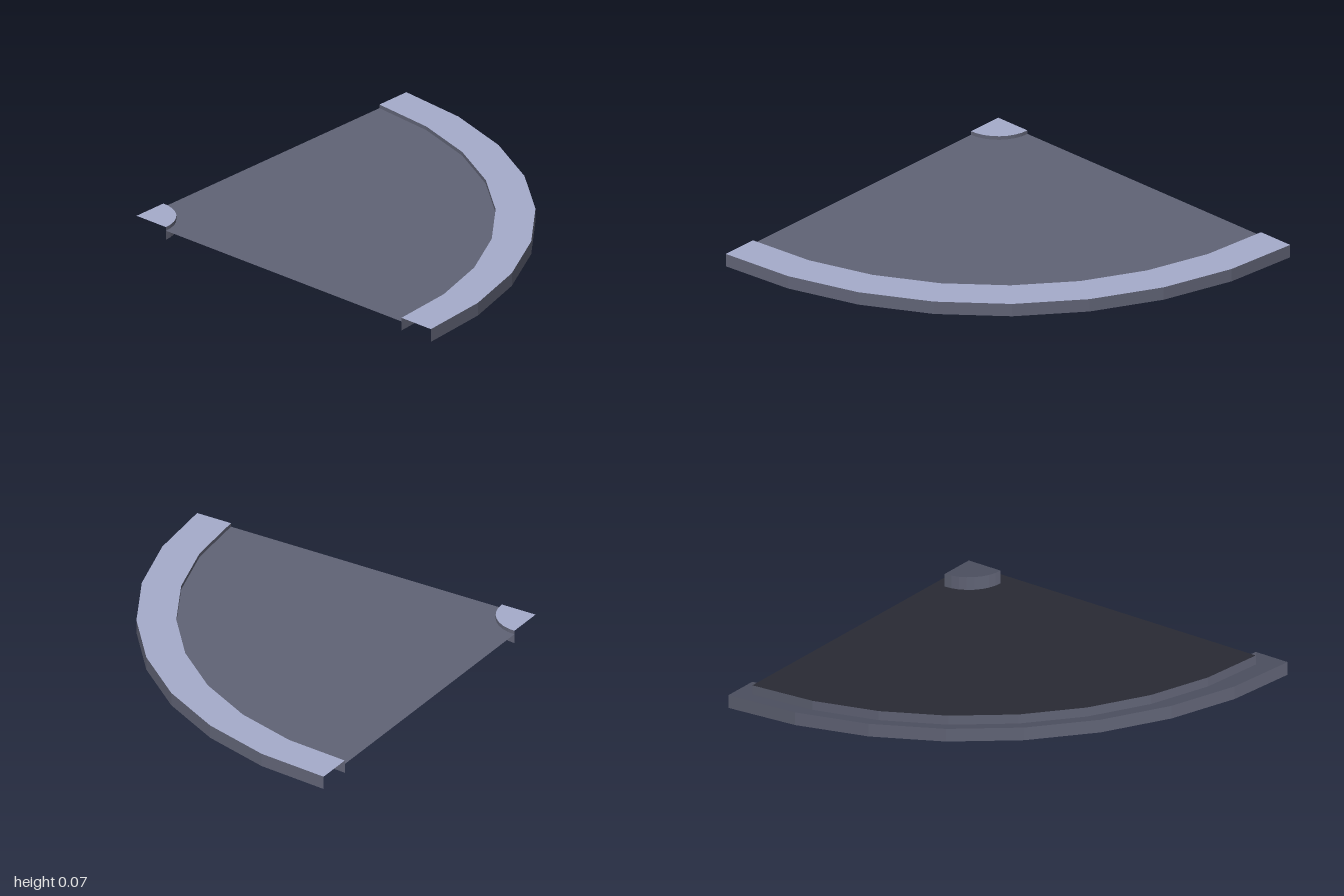
import * as THREE from 'three';

export function createModel() {
  const group = new THREE.Group();
  const material = (name, color) => {
    const m = new THREE.MeshStandardMaterial({ color, flatShading: true, side: THREE.DoubleSide });
    m.name = name;
    return m;
  };
  const asphalt = material('asphalt', 0x606375);
  const kerb = material('kerb', 0xa5abcb);

  const TOP = 0.07, ROAD = 0.05;
  const INNER = 0.2, LANE = 1.8, OUTER = 2;

  // Quarter-turn sweep of an [radius, height] profile about the inside corner
  const sweep = (name, profile, mat) => {
    const points = profile.map(([r, y]) => new THREE.Vector2(r, y));
    const mesh = new THREE.Mesh(new THREE.LatheGeometry(points, 8, Math.PI / 2, Math.PI / 2), mat);
    mesh.name = name;
    mesh.position.set(-1, 0, 1);
    group.add(mesh);
  };

  // Flat pieces run from outer to inner radius so they face up
  sweep('roadSurface', [[LANE, ROAD], [INNER, ROAD]], asphalt);
  sweep('outerKerbTop', [[OUTER, TOP], [LANE, TOP]], kerb);
  sweep('innerCornerTop', [[INNER, TOP], [0, TOP]], kerb);

  // Upright kerb faces
  const walls = { outerWall: OUTER, laneWall: LANE, innerCornerWall: INNER };
  for (const [name, r] of Object.entries(walls)) sweep(name, [[r, 0], [r, TOP]], asphalt);

  return group;
}
